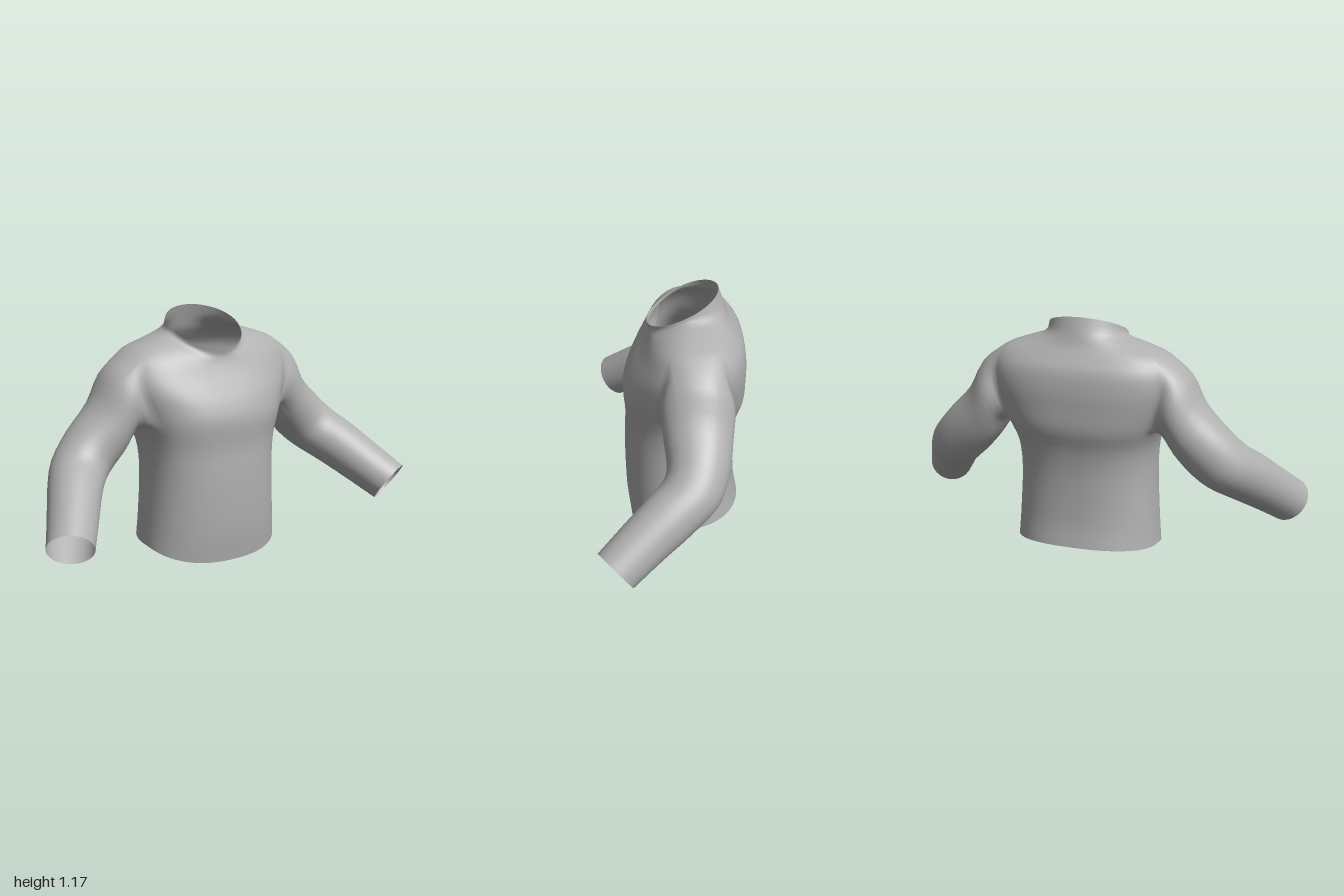
import * as THREE from 'three';

const COLS = 64, SUB = 3, HALF = 5;   // columns round the body, steps between sections, armhole half width
const HOLE_LOW = 4 * SUB, HOLE_TOP = 8 * SUB;

// Body sections: front z, y | back z, y | side x, y, z | roundness power, height blend power
const BODY = [
  [0.20, 0.00, -0.32, 0.10, 0.345, 0.07, -0.03, 0.85, 1.3],
  [0.22, 0.17, -0.30, 0.22, 0.335, 0.20, -0.04, 0.85, 1.3],
  [0.225, 0.40, -0.295, 0.42, 0.325, 0.42, -0.04, 0.85, 1.5],
  [0.22, 0.55, -0.31, 0.56, 0.335, 0.56, -0.05, 0.82, 2],
  [0.23, 0.68, -0.34, 0.66, 0.37, 0.66, -0.08, 0.8, 2],
  [0.21, 0.76, -0.345, 0.76, 0.41, 0.76, -0.10, 0.8, 2],
  [0.18, 0.82, -0.345, 0.85, 0.44, 0.85, -0.10, 0.8, 2],
  [0.145, 0.88, -0.33, 0.94, 0.44, 0.93, -0.10, 0.8, 2],
  [0.12, 0.93, -0.29, 1.00, 0.40, 1.00, -0.10, 0.82, 2],
  [0.11, 0.96, -0.26, 1.045, 0.29, 1.045, -0.09, 0.9, 2],
  [0.108, 0.98, -0.24, 1.10, 0.20, 1.075, -0.07, 1, 1.4],
  [0.115, 1.012, -0.215, 1.17, 0.185, 1.10, -0.06, 1, 1],
];

// Sleeve sections: centre | direction | radius across, radius front to back
const SLEEVE = [
  [0.445, 0.775, -0.10, 0.93, -0.37, 0, 0.157, 0.165],
  [0.51, 0.667, -0.10, 0.88, -0.47, 0, 0.138, 0.155],
  [0.60, 0.57, -0.095, 0.75, -0.65, 0.1, 0.134, 0.14],
  [0.675, 0.495, -0.06, 0.55, -0.73, 0.4, 0.131, 0.135],
  [0.745, 0.43, 0.03, 0.43, -0.58, 0.69, 0.124, 0.124],
  [0.82, 0.345, 0.15, 0.41, -0.58, 0.71, 0.115, 0.115],
  [0.90, 0.253, 0.275, 0.41, -0.58, 0.71, 0.107, 0.107],
];

const signedPow = (v, e) => Math.sign(v) * Math.pow(Math.abs(v), e);

function bodyPoint([fz, fy, bz, by, sx, sy, sz, e, p], t) {
  const s = signedPow(Math.sin(t), e), k = Math.pow(Math.abs(Math.sin(t)), p);
  return new THREE.Vector3(
    sx * signedPow(Math.cos(t), e),
    sy + ((s > 0 ? fy : by) - sy) * k,
    sz + (s > 0 ? fz - sz : sz - bz) * s);
}

function sleevePoint([x, y, z, nx, ny, nz, ru, rv], a) {
  const n = new THREE.Vector3(nx, ny, nz).normalize();
  const v = new THREE.Vector3(0, 0, 1).addScaledVector(n, -n.z).normalize();
  const u = v.clone().cross(n);
  return new THREE.Vector3(x, y, z)
    .addScaledVector(u, ru * Math.cos(a)).addScaledVector(v, rv * Math.sin(a));
}

// Smooth run of points through a list of control points
const smoothRun = (points) =>
  new THREE.CatmullRomCurve3(points, false, 'catmullrom', 0.5).getPoints((points.length - 1) * SUB);

export function createModel() {
  const verts = [];
  const add = (p) => verts.push(p) - 1;
  const quad = (list, a, b, c, d) => list.push(a, b, c, a, c, d);

  // Body grid, each column running from hem to collar
  const body = [];
  for (let j = 0; j < COLS; j++) {
    const t = (j / COLS) * Math.PI * 2;
    body.push(smoothRun(BODY.map((r) => bodyPoint(r, t))).map(add));
  }
  const col = (j) => body[(j + COLS) % COLS];
  const torsoFaces = [];
  for (let j = 0; j < COLS; j++) {
    const atSide = [0, COLS / 2, COLS].some((c) => j >= c - HALF && j < c + HALF);
    for (let i = 0; i < body[0].length - 1; i++) {
      if (atSide && i >= HOLE_LOW && i < HOLE_TOP) continue;   // armholes
      quad(torsoFaces, col(j)[i], col(j)[i + 1], col(j + 1)[i + 1], col(j + 1)[i]);
    }
  }

  // Rim of an armhole as [column, row] steps
  const rim = [];
  for (let j = -HALF; j < HALF; j++) rim.push([j, HOLE_LOW]);
  for (let i = HOLE_LOW; i < HOLE_TOP; i++) rim.push([HALF, i]);
  for (let j = HALF; j > -HALF; j--) rim.push([j, HOLE_TOP]);
  for (let i = HOLE_TOP; i > HOLE_LOW; i--) rim.push([-HALF, i]);

  // Sleeve growing out of the armhole rim to the cuff
  function sleeveFaces(side) {
    const faces = [];
    const strips = rim.map(([j, i]) => {
      const start = verts[col(j)[i]];
      const a = Math.atan2(start.z + 0.1, start.y - 0.83);
      const run = smoothRun([start, ...SLEEVE.map((r) => sleevePoint(r, a))]);
      const first = side > 0 ? col(j)[i] : col(COLS / 2 - j)[i];
      return [first, ...run.slice(1).map((p) => add(new THREE.Vector3(p.x * side, p.y, p.z)))];
    });
    strips.forEach((s, k) => {
      const next = strips[(k + 1) % strips.length];
      for (let i = 0; i < s.length - 1; i++) {
        if (side > 0) quad(faces, s[i], s[i + 1], next[i + 1], next[i]);
        else quad(faces, s[i], next[i], next[i + 1], s[i + 1]);
      }
    });
    return faces;
  }
  const leftFaces = sleeveFaces(1), rightFaces = sleeveFaces(-1);

  // Shared smooth normals so that the shoulder seams do not show
  const whole = new THREE.BufferGeometry().setFromPoints(verts);
  whole.setIndex([...torsoFaces, ...leftFaces, ...rightFaces]);
  whole.computeVertexNormals();

  const fabric = new THREE.MeshStandardMaterial({ color: 0xb0b0b0, side: THREE.DoubleSide });
  fabric.name = 'greyFabric';

  const group = new THREE.Group();
  group.name = 'sweater';
  const parts = { torso: torsoFaces, leftSleeve: leftFaces, rightSleeve: rightFaces };
  for (const [name, faces] of Object.entries(parts)) {
    whole.setIndex(faces);
    const mesh = new THREE.Mesh(whole.toNonIndexed(), fabric);
    mesh.name = name;
    group.add(mesh);
  }
  return group;
}
